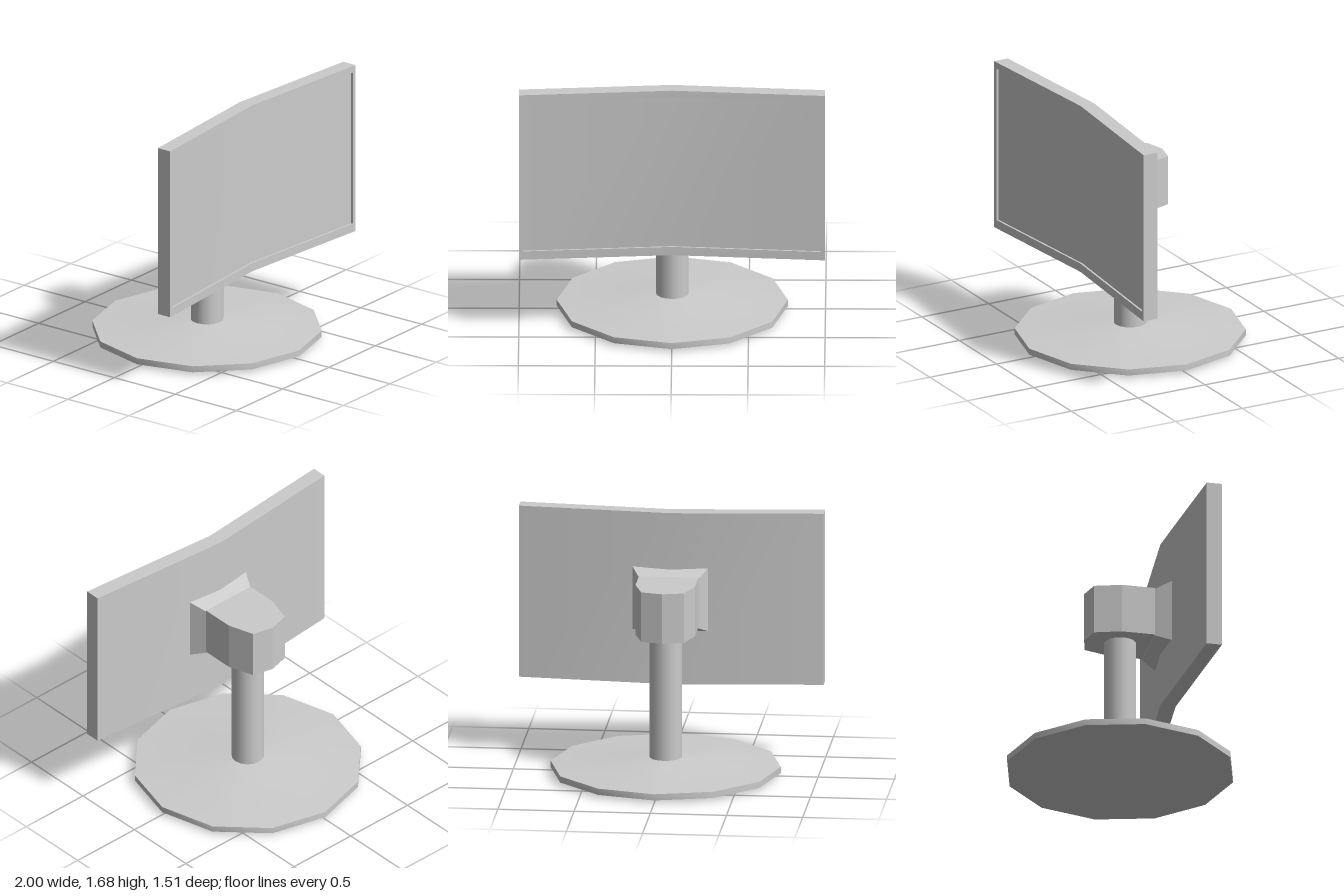
import * as THREE from 'three';
import { toCreasedNormals } from 'three/addons/utils/BufferGeometryUtils.js';

const grey = new THREE.MeshStandardMaterial({ color: 0xcccccc });

function add(parent, name, geometry) {
  const mesh = new THREE.Mesh(geometry, grey);
  mesh.name = name;
  parent.add(mesh);
  return mesh;
}

// Box given by its limits, bent into a shallow V about x = 0
function bentBox(x0, x1, y0, y1, z0, z1) {
  const g = new THREE.BoxGeometry(x1 - x0, y1 - y0, z1 - z0, 2, 1, 1);
  g.translate((x0 + x1) / 2, (y0 + y1) / 2, (z0 + z1) / 2);
  const p = g.attributes.position;
  for (let i = 0; i < p.count; i++) p.setZ(i, p.getZ(i) + 0.087 * Math.abs(p.getX(i)));
  g.computeVertexNormals();
  return g;
}

export function createModel() {
  const model = new THREE.Group();
  model.name = 'monitor';

  // Twelve-sided foot with a raised collar
  const profile = [[0, 0], [0.755, 0.02], [0.755, 0.062], [0.28, 0.088], [0.1, 0.112], [0, 0.112]]
    .map(([r, y]) => new THREE.Vector2(r, y));
  add(model, 'base', toCreasedNormals(new THREE.LatheGeometry(profile, 12), 0.6));

  // Post
  const post = new THREE.CylinderGeometry(0.107, 0.107, 0.86, 16);
  add(model, 'post', post.translate(0, 0.52, 0));

  // Mount housing, drawn in plan and extruded upwards
  const half = [[0.195, 0.19], [0.195, -0.03], [0.14, -0.205]];
  const outline = [...half, [0, -0.24], ...half.map(([x, z]) => [-x, z]).reverse()];
  const plan = new THREE.Shape(outline.map(([x, z]) => new THREE.Vector2(x, -z)));
  const housing = new THREE.ExtrudeGeometry(plan, { depth: 0.335, bevelEnabled: false });
  add(model, 'mountHousing', housing.rotateX(-Math.PI / 2).translate(0, 0.94, 0));

  // Flared plate joining the housing to the display
  const flare = new THREE.BoxGeometry(0.39, 0.335, 0.102);
  flare.translate(0, 0, 0.241);
  const p = flare.attributes.position;
  for (let i = 0; i < p.count; i++) {
    if (p.getZ(i) > 0.24) p.setXY(i, p.getX(i) * 1.27, p.getY(i) * 1.27);
  }
  flare.computeVertexNormals();
  add(model, 'mountFlare', flare.translate(0, 1.1, 0));

  // Display: bent shell, screen just behind a thin raised bezel
  const display = new THREE.Group();
  display.name = 'display';
  model.add(display);
  const [y0, y1, s0, s1, sx] = [0.527, 1.685, 0.585, 1.64, 0.972];
  const [back, screen, front] = [0.27, 0.358, 0.372];
  add(display, 'shell', bentBox(-1, 1, y0, y1, back, screen));
  add(display, 'bezelTop', bentBox(-1, 1, s1, y1, screen, front));
  add(display, 'bezelBottom', bentBox(-1, 1, y0, s0, screen, front));
  add(display, 'bezelLeft', bentBox(sx, 1, s0, s1, screen, front));
  add(display, 'bezelRight', bentBox(-1, -sx, s0, s1, screen, front));

  return model;
}
